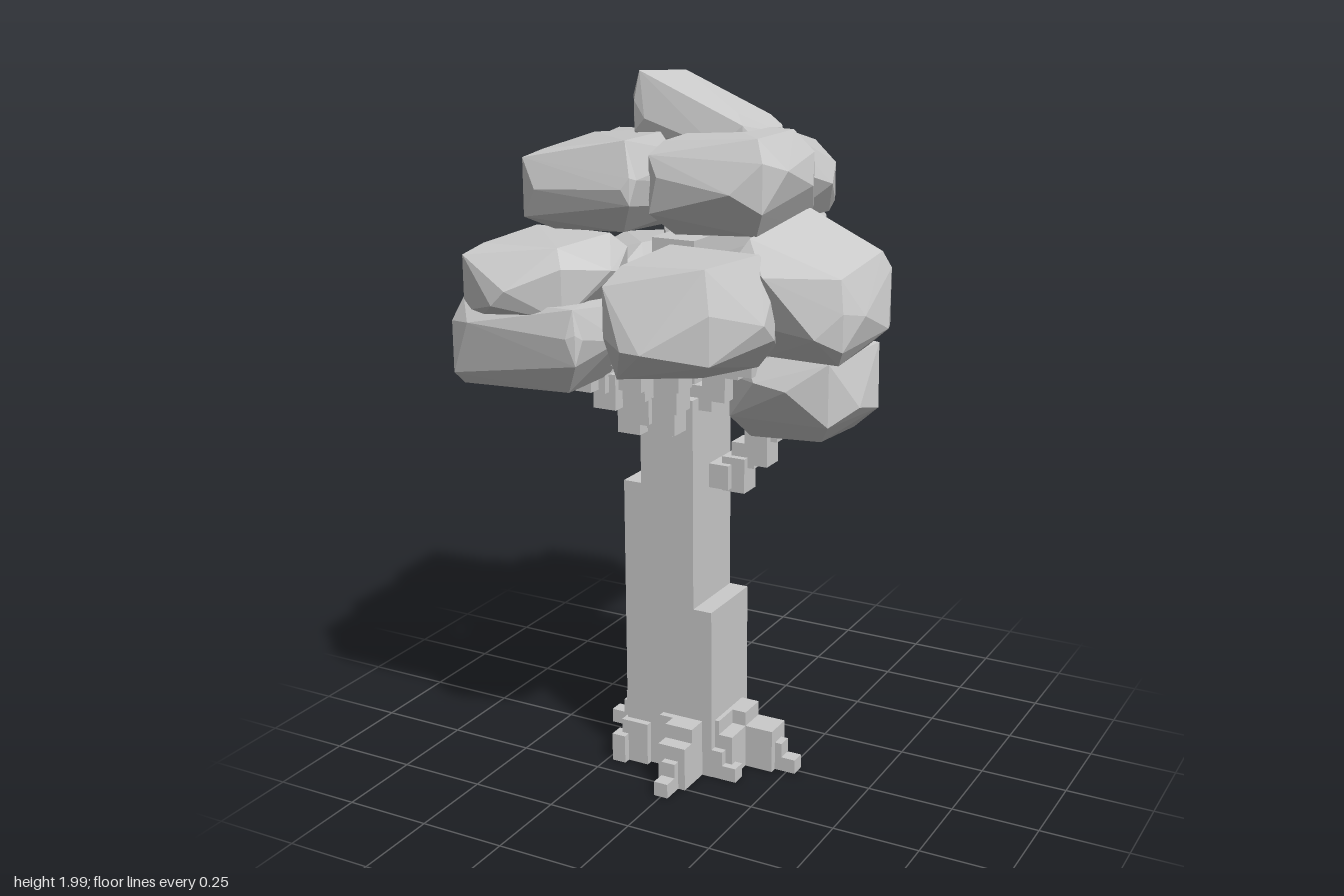
import * as THREE from 'three';
import { ConvexGeometry } from 'three/addons/geometries/ConvexGeometry.js';

const material = new THREE.MeshStandardMaterial({ color: 0xcccccc, flatShading: true });
const cell = 0.0425;

// Small seeded generator, returns -1..1
let seed = 7;
function jitter() {
  seed = (seed * 16807) % 2147483647;
  return (seed / 2147483647) * 2 - 1;
}

function block(parent, name, x0, x1, y0, y1, z0, z1) {
  const mesh = new THREE.Mesh(new THREE.BoxGeometry(x1 - x0, y1 - y0, z1 - z0), material);
  mesh.position.set((x0 + x1) / 2, (y0 + y1) / 2, (z0 + z1) / 2);
  mesh.name = name;
  parent.add(mesh);
}

// Faceted leaf clump: a box whose top slopes up towards (tiltX, tiltZ)
// and whose four upright corners are cut by the given shares
function clump(x0, x1, y0, y1, z0, z1, tiltX, tiltZ, ...cuts) {
  const points = [];
  // u, v run -1..1 across the plan, t runs 0..1 from bottom to top
  const add = (u, v, t) => {
    const rise = 1 - (Math.abs(tiltX) + Math.abs(tiltZ) - tiltX * Math.sign(u) - tiltZ * Math.sign(v)) / 2;
    points.push(new THREE.Vector3(
      (x0 + x1) / 2 + u * (x1 - x0) / 2,
      y0 + t * rise * (y1 - y0),
      (z0 + z1) / 2 + v * (z1 - z0) / 2));
  };
  [[-1, -1], [1, -1], [1, 1], [-1, 1]].forEach(([sx, sz], i) => {
    const inner = 1 - 2 * cuts[i];
    const corner = 1 - 0.62 * cuts[i];
    add(sx * inner, sz, 0.5 + 0.25 * jitter());
    add(sx, sz * inner, 0.5 + 0.25 * jitter());
    add(sx * corner, sz * corner, 0.25 + 0.15 * jitter());
    add(sx * corner, sz * corner, 0.75 + 0.12 * jitter());
    const low = corner * (0.78 + 0.14 * jitter());
    const high = corner * (0.8 + 0.15 * jitter());
    add(sx * low, sz * low, i % 2 ? 0 : 0.05);
    add(sx * high, sz * high, i % 2 ? 0.95 + 0.05 * jitter() : 1);
  });
  const mesh = new THREE.Mesh(new ConvexGeometry(points), material);
  mesh.name = 'leafClump';
  return mesh;
}

// Staircase of cubes running between two points, snapped to a grid
function branch(parent, from, to, count) {
  const a = new THREE.Vector3(...from), b = new THREE.Vector3(...to), h = 0.035;
  for (let i = 0; i < count; i++) {
    const p = a.clone().lerp(b, i / (count - 1));
    const [x, y, z] = p.toArray().map(v => Math.round(v / 0.02) * 0.02);
    const drop = i % 2 ? 0.03 : 0;
    block(parent, 'branchBlock', x - h, x + h, y - h - drop, y + h, z - h, z + h);
  }
}

function group(parent, name) {
  const g = new THREE.Group();
  g.name = name;
  parent.add(g);
  return g;
}

export function createModel() {
  const model = new THREE.Group();
  model.name = 'tree';

  // Trunk
  const trunk = group(model, 'trunk');
  [
    [-0.15, 0.015, 0, 1.12, -0.075, 0.15],
    [-0.13, 0, 1.12, 1.55, -0.04, 0.11],
    [-0.205, -0.15, 0, 0.86, -0.075, 0.15],
    [0.015, 0.072, 0, 0.51, -0.075, 0.15],
    [-0.15, 0.03, 0, 0.28, -0.13, -0.075],
    [-0.09, -0.04, 0.28, 0.34, -0.13, -0.075],
    [-0.15, -0.1, 0.4, 0.46, -0.13, -0.075],
  ].forEach(b => block(trunk, 'trunkBlock', ...b));

  // Roots stepping down to the ground, given by the x and z of each tip
  const roots = group(model, 'roots');
  const cx = -0.06, cz = 0.01;
  const snap = v => Math.round(v / cell) * cell;
  [[0.24, 0], [0.02, 0.31], [-0.355, -0.05], [-0.1, -0.28],
    [0.12, 0.13], [-0.22, 0.18], [-0.22, -0.16]].forEach(([tx, tz]) => {
    for (let i = 0; i < 5; i++) {
      const t = 1 - i * 0.15;
      const x = snap(cx + (tx - cx) * t), z = snap(cz + (tz - cz) * t);
      const w = i < 2 ? cell / 2 : cell;
      block(roots, 'rootBlock', x - w, x + w, 0, cell * Math.min(i + 1, 4), z - w, z + w);
    }
  });

  // Branches reaching into the leaf clumps: start, end, number of blocks
  const branches = group(model, 'branches');
  [
    [[0.04, 0.87, 0.02], [0.19, 1.05, -0.06], 6],
    [[-0.14, 1.05, 0.12], [-0.27, 1.26, 0.3], 7],
    [[-0.19, 1.06, 0.06], [-0.23, 1.24, 0.14], 5],
    [[-0.06, 1.05, 0.15], [0.06, 1.3, 0.32], 7],
    [[-0.1, 1.08, 0.16], [-0.14, 1.26, 0.24], 5],
    [[0.02, 1.13, 0.08], [0.32, 1.42, 0.1], 8],
    [[-0.14, 1.04, -0.03], [-0.34, 1.26, -0.18], 8],
    [[-0.07, 1.12, -0.06], [-0.06, 1.38, -0.32], 8],
  ].forEach(b => branch(branches, ...b));

  // Leaf clumps: x, y and z extents, tilt of the top, then the cut of each corner
  const crown = group(model, 'crown');
  const upper = [
    [-0.18, 0.18, 1.75, 2, -0.11, 0.15, -0.42, 0.08, 0.3, 0.2, 0.25, 0.15],
    [-0.39, -0.03, 1.59, 1.84, 0, 0.39, 0.1, 0, 0.15, 0.08, 0.08, 0.2],
    [-0.05, 0.31, 1.59, 1.85, -0.08, 0.3, 0, 0, 0.18, 0.3, 0.3, 0.12],
    [-0.13, 0.25, 1.58, 1.85, -0.4, 0.06, 0, 0.22, 0.3, 0.38, 0.35, 0.2],
    [-0.47, -0.1, 1.57, 1.82, -0.25, 0.08, 0.1, 0, 0.22, 0.08, 0.18, 0.3],
  ];
  const lower = [
    [-0.27, 0.15, 1.29, 1.57, -0.61, -0.13, 0, 0, 0.45, 0.45, 0.25, 0.2],
    [-0.54, -0.18, 1.17, 1.5, -0.42, 0.05, 0.1, 0, 0.28, 0.2, 0.35, 0.45],
    [0.18, 0.54, 1.29, 1.65, -0.12, 0.32, -0.25, -0.1, 0.4, 0.4, 0.25, 0.35],
    [0.04, 0.42, 1, 1.28, -0.28, 0.1, 0, 0, 0.4, 0.25, 0.4, 0.35],
    [-0.03, 0.34, 1.28, 1.57, 0.22, 0.61, 0, 0, 0.15, 0.25, 0.6, 0.25],
    [-0.54, -0.11, 1.19, 1.43, 0.17, 0.53, 0, 0, 0.15, 0.4, 0.08, 0.22],
    [-0.54, -0.12, 1.35, 1.57, 0.08, 0.555, 0, 0, 0.3, 0.48, 0.45, 0.45],
  ];
  [...upper, ...lower].forEach(c => crown.add(clump(...c)));

  return model;
}
